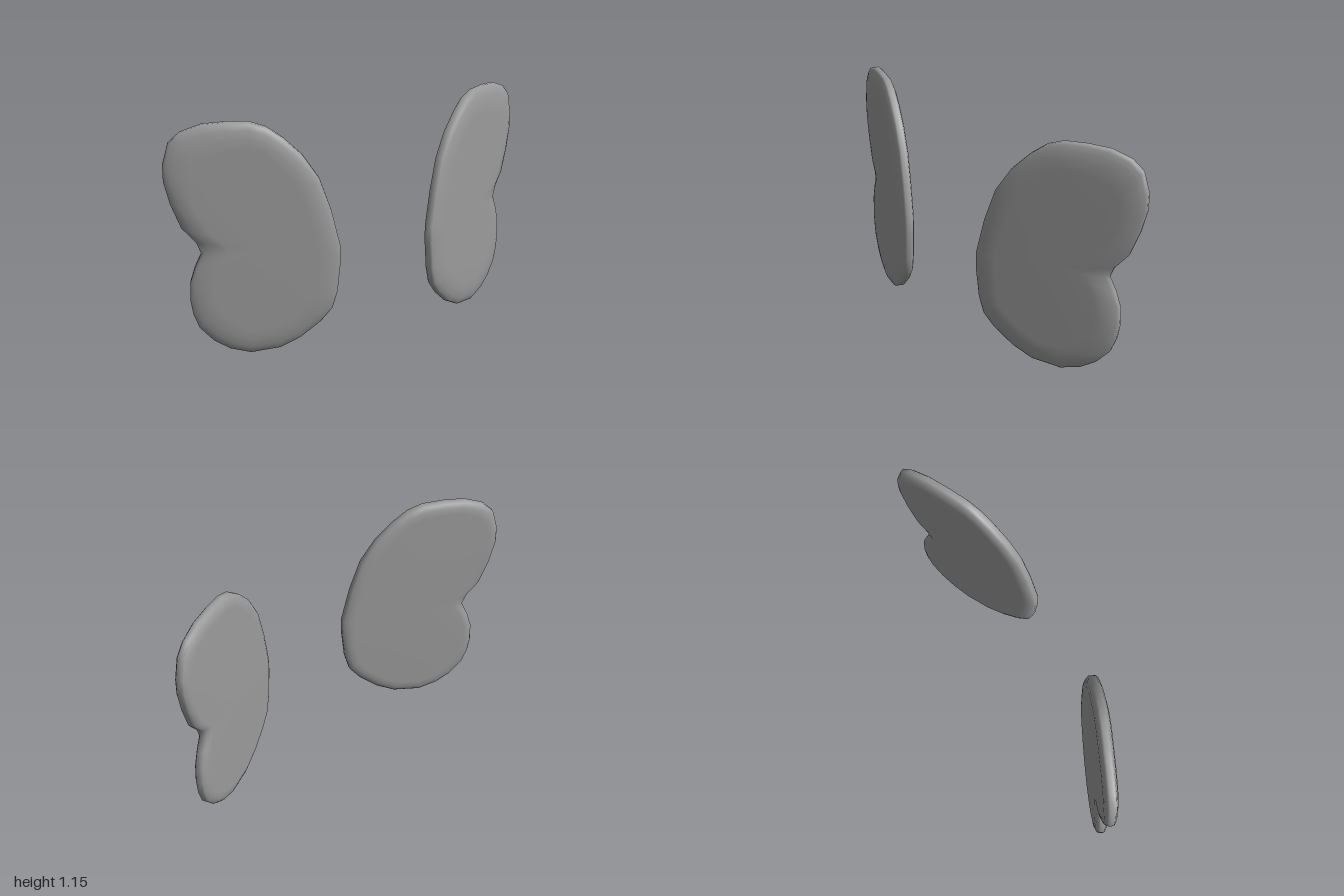
import * as THREE from 'three';

const TILT = THREE.MathUtils.degToRad(25);
const CX = 0.62, CY = 0.55; // middle of one lobed plate

// Kidney outline of the left plate, clockwise from the top
const OUTLINE = [
  [0.73, 1.153], [0.83, 1.145], [0.92, 1.11], [0.97, 1.06], [0.996, 0.96], [0.996, 0.88],
  [0.972, 0.77], [0.93, 0.65], [0.87, 0.575], [0.85, 0.52], [0.88, 0.45], [0.903, 0.37],
  [0.905, 0.28], [0.895, 0.21], [0.87, 0.14], [0.81, 0.07], [0.74, 0.025], [0.65, 0],
  [0.52, 0.02], [0.43, 0.07], [0.34, 0.15], [0.29, 0.215], [0.267, 0.3], [0.252, 0.45],
  [0.252, 0.53], [0.29, 0.71], [0.34, 0.87], [0.41, 0.985], [0.49, 1.07], [0.56, 1.125], [0.63, 1.15],
];

// Rim cross-section from front to back: [inset, height above the mid plane]
const RIM = [
  [0.15, 0.038], [0.08, 0.035], [0.035, 0.028], [0.01, 0.019], [0, 0.01],
  [0, -0.013], [0.01, -0.024], [0.035, -0.033], [0.075, -0.037],
];

function plateGeometry(side) {
  const pos = [], idx = [], n = OUTLINE.length;
  // u runs along the plate, h along its normal
  const add = (u, y, h) => pos.push(
    side * (CX + u * Math.cos(TILT) + h * Math.sin(TILT)), y,
    -u * Math.sin(TILT) + h * Math.cos(TILT));
  const tri = (a, b, c) => (side > 0 ? idx.push(a, b, c) : idx.push(a, c, b));

  for (const [inset, h] of RIM) {
    for (const [x, y] of OUTLINE) {
      const u = (x - CX) / Math.cos(TILT), v = y - CY;
      const r = Math.hypot(u, v);
      // the front bevel is broader on the outer side
      const wide = h > 0 ? 1 + 0.8 * Math.max(0, u / r) : 1;
      const s = 1 / (1 + (inset * wide) / r);
      add(u * s, CY + v * s, h);
    }
  }
  const front = pos.length / 3;
  add(0, CY, 0.038);
  add(0, CY, -0.038);
  const last = (RIM.length - 1) * n;
  for (let i = 0; i < n; i++) {
    const j = (i + 1) % n;
    tri(front, j, i);
    tri(front + 1, last + i, last + j);
    for (let k = 0; k < last; k += n) {
      tri(k + i, k + j, k + n + i);
      tri(k + j, k + n + j, k + n + i);
    }
  }
  const g = new THREE.BufferGeometry();
  g.setAttribute('position', new THREE.Float32BufferAttribute(pos, 3));
  g.setIndex(idx);
  g.computeVertexNormals();
  return g;
}

export function createModel() {
  const group = new THREE.Group();
  group.name = 'wingPair';
  const material = new THREE.MeshStandardMaterial({ color: 0x9b9b9b });
  // Mirrored pair of wing plates
  for (const [name, side] of [['leftWing', 1], ['rightWing', -1]]) {
    const wing = new THREE.Mesh(plateGeometry(side), material);
    wing.name = name;
    group.add(wing);
  }
  return group;
}
